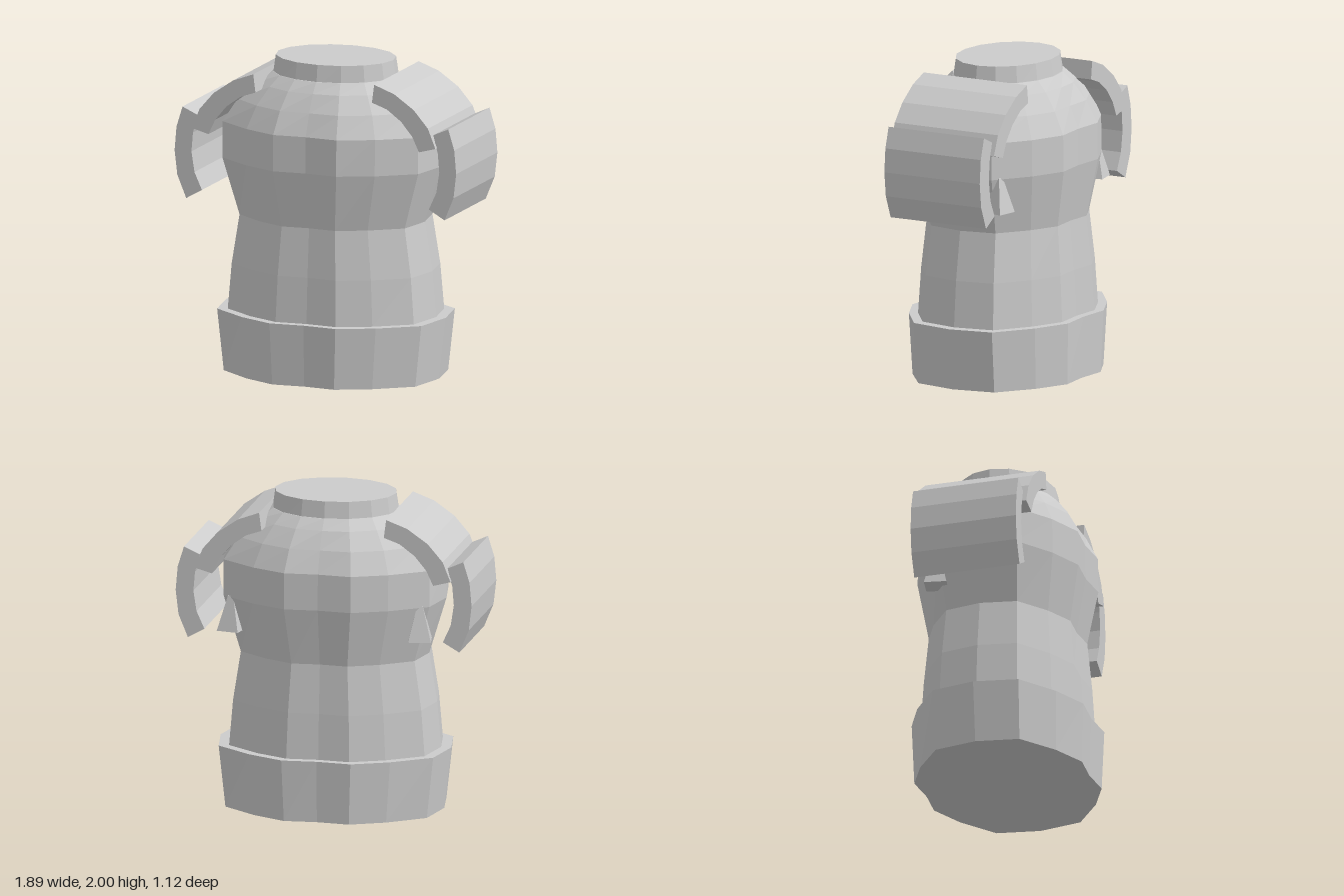
import * as THREE from 'three';

const material = new THREE.MeshStandardMaterial({ color: 0xcccccc, flatShading: true });

// Quarter outlines from front (+z) to side (+x), as fractions of the half widths
const TORSO = [[0, 0.97], [0.3, 1], [0.61, 0.81], [0.93, 0.5], [1, 0]];
const OVAL = [0, 1, 2, 3, 4].map(i => [Math.sin(i * Math.PI / 8), Math.cos(i * Math.PI / 8)]);

// Full 16-point outline; blend 0 = torso outline, 1 = oval
function ring([y, rx, rz, blend = 0]) {
  const q = TORSO.map(([x, z], i) => [
    THREE.MathUtils.lerp(x, OVAL[i][0], blend) * rx,
    THREE.MathUtils.lerp(z, OVAL[i][1], blend) * rz]);
  const half = [...q, ...q.slice(0, 4).reverse().map(([x, z]) => [x, -z])];
  const full = [...half, ...half.slice(1, 8).reverse().map(([x, z]) => [-x, z])];
  return full.map(([x, z]) => [x, y, z]);
}

// Skin stacked rings from bottom to top and close both ends
function loft(name, sections) {
  const n = 16;
  const rings = sections.map(ring);
  const pos = rings.flat(2);
  const index = [];
  for (let r = 0; r < rings.length - 1; r++) {
    for (let i = 0; i < n; i++) {
      const a = r * n + i, b = r * n + (i + 1) % n;
      index.push(a, b, b + n, a, b + n, a + n);
    }
  }
  const last = rings.length - 1;
  const bottom = pos.length / 3, top = bottom + 1;
  pos.push(0, sections[0][0], 0, 0, sections[last][0], 0);
  for (let i = 0; i < n; i++) {
    const j = (i + 1) % n;
    index.push(bottom, j, i, top, last * n + i, last * n + j);
  }
  const geo = new THREE.BufferGeometry();
  geo.setAttribute('position', new THREE.Float32BufferAttribute(pos, 3));
  geo.setIndex(index);
  geo.computeVertexNormals();
  const mesh = new THREE.Mesh(geo, material);
  mesh.name = name;
  return mesh;
}

// Curved plate: outer and inner arcs in x/y, extruded along z
function plate(name, side, outer, inner, halfDepth) {
  const pts = [...outer, ...inner.slice().reverse()].map(([x, y]) => new THREE.Vector2(x * side, y));
  const geo = new THREE.ExtrudeGeometry(new THREE.Shape(pts), { depth: halfDepth * 2, bevelEnabled: false });
  geo.translate(0, 0, -halfDepth);
  const mesh = new THREE.Mesh(geo, material);
  mesh.name = name;
  return mesh;
}

export function createModel() {
  const model = new THREE.Group();
  model.name = 'armouredTorso';

  // Waist band, body and neck: [y, half width, half depth, blend to oval]
  model.add(loft('waistBand', [[0, 0.69, 0.545], [0.39, 0.735, 0.558]]));
  model.add(loft('body', [
    [0.3, 0.675, 0.508], [0.39, 0.67, 0.505], [0.68, 0.645, 0.488], [0.99, 0.595, 0.46],
    [1.35, 0.705, 0.522], [1.58, 0.705, 0.518],
    [1.72, 0.615, 0.455, 0.2], [1.83, 0.49, 0.388, 0.6], [1.895, 0.4, 0.33, 1],
  ]));
  model.add(loft('neck', [[1.86, 0.405, 0.328, 1], [2, 0.385, 0.307, 1]]));

  for (const [side, label] of [[1, 'left'], [-1, 'right']]) {
    // Overlapping shoulder plates
    model.add(plate(label + 'UpperShoulderPlate', side,
      [[0.405, 1.92], [0.54, 1.87], [0.67, 1.78], [0.765, 1.67], [0.815, 1.545]],
      [[0.39, 1.805], [0.49, 1.77], [0.585, 1.7], [0.66, 1.61], [0.705, 1.515]], 0.37));
    model.add(plate(label + 'LowerShoulderPlate', side,
      [[0.89, 1.67], [0.93, 1.54], [0.943, 1.39], [0.925, 1.235], [0.865, 1.09]],
      [[0.79, 1.625], [0.82, 1.51], [0.83, 1.39], [0.81, 1.26], [0.76, 1.15]], 0.342));

    // Small tapered stud behind each arm
    const stud = new THREE.Mesh(new THREE.CylinderGeometry(0.025, 0.1, 0.22, 4), material);
    stud.name = label + 'BackStud';
    stud.position.set(side * 0.6, 1.25, -0.28);
    stud.rotation.y = side * 0.6;
    model.add(stud);
  }
  return model;
}
